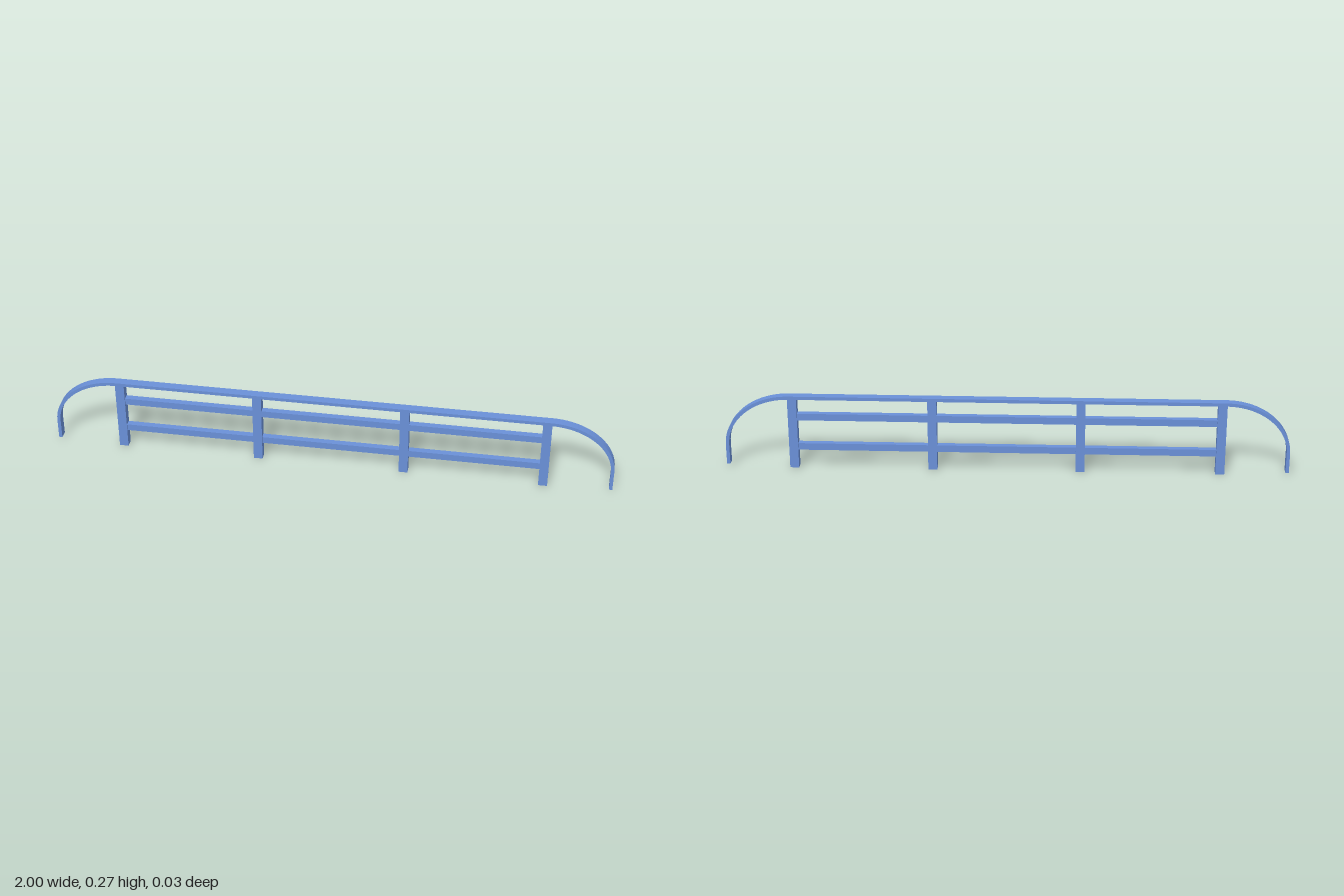
import * as THREE from 'three';

export function createModel() {
  const group = new THREE.Group();
  group.name = 'railing';
  const material = new THREE.MeshStandardMaterial({ color: 0x6a90d8 });
  const depth = 0.031, height = 0.272, thick = 0.012;

  const add = (name, geometry, x = 0, y = 0, z = 0) => {
    const mesh = new THREE.Mesh(geometry, material);
    mesh.name = name;
    mesh.position.set(x, y, z);
    group.add(mesh);
  };

  // Flat handrail: straight top with elliptical ends turning down
  const cx = 0.77, cy = 0.085, foot = 0.01;
  const rx = 1 - cx, ry = height - cy;
  const rail = new THREE.Shape();
  rail.moveTo(1, foot);
  rail.lineTo(1, cy);
  rail.absellipse(cx, cy, rx, ry, 0, Math.PI / 2, false);
  rail.lineTo(-cx, height);
  rail.absellipse(-cx, cy, rx, ry, Math.PI / 2, Math.PI, false);
  rail.lineTo(-1, foot);
  rail.lineTo(-1 + thick, foot);
  rail.lineTo(-1 + thick, cy);
  rail.absellipse(-cx, cy, rx - thick, ry - thick, Math.PI, Math.PI / 2, true);
  rail.lineTo(cx, height - thick);
  rail.absellipse(cx, cy, rx - thick, ry - thick, Math.PI / 2, 0, true);
  rail.lineTo(1 - thick, foot);
  rail.closePath();
  add('handrail', new THREE.ExtrudeGeometry(rail, { depth, bevelEnabled: false, curveSegments: 16 }), 0, 0, -depth / 2);

  // Four square posts under the handrail
  const postHeight = height - thick;
  for (const x of [-0.757, -0.262, 0.262, 0.757]) {
    add('post', new THREE.BoxGeometry(0.032, postHeight, depth), x, postHeight / 2);
  }

  // Two crossbars, slightly thinner than the posts
  for (const y of [0.08, 0.193]) {
    add('crossbar', new THREE.BoxGeometry(1.49, 0.025, 0.022), 0, y);
  }
  return group;
}
